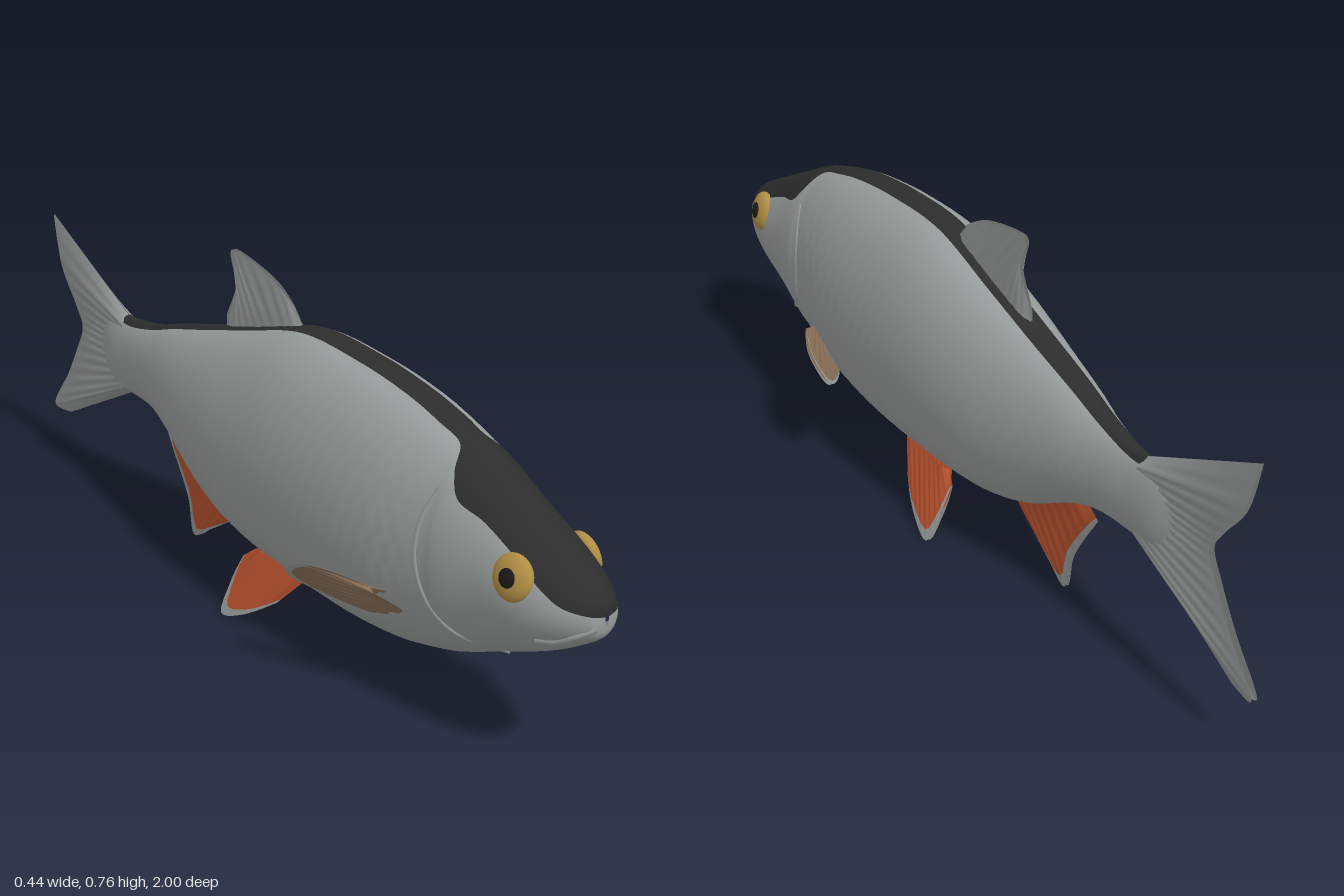
import * as THREE from 'three';

const mat = (name, color, side = THREE.FrontSide) => {
  const m = new THREE.MeshStandardMaterial({ color, side });
  m.name = name;
  return m;
};

// Body stations from snout to tail: z, top, bottom, half width, half angle of the dark back
const STATIONS = [
  [1.0, 0.40, 0.375, 0.004, 1.3], [0.99, 0.425, 0.345, 0.035, 1.3], [0.95, 0.45, 0.315, 0.066, 1.25],
  [0.9, 0.475, 0.285, 0.087, 1.05], [0.84, 0.505, 0.255, 0.1, 0.87], [0.75, 0.55, 0.215, 0.108, 0.8],
  [0.68, 0.585, 0.183, 0.118, 0.82], [0.645, 0.6, 0.168, 0.122, 0.6], [0.615, 0.61, 0.156, 0.122, 0.27],
  [0.55, 0.63, 0.137, 0.131, 0.24], [0.45, 0.652, 0.116, 0.144, 0.21], [0.3, 0.67, 0.105, 0.151, 0.2],
  [0.1, 0.672, 0.11, 0.148, 0.2], [-0.1, 0.618, 0.13, 0.132, 0.22], [-0.25, 0.575, 0.175, 0.107, 0.26],
  [-0.4, 0.533, 0.255, 0.075, 0.33], [-0.5, 0.502, 0.29, 0.052, 0.42], [-0.6, 0.486, 0.297, 0.037, 0.55],
  [-0.68, 0.485, 0.295, 0.029, 0.5], [-0.76, 0.47, 0.32, 0.008, 0.3],
];
const heights = new THREE.CatmullRomCurve3(
  STATIONS.map(([z, t, b]) => new THREE.Vector3(z, t, b)), false, 'catmullrom', 0.5);
const widths = new THREE.CatmullRomCurve3(
  STATIONS.map(([z, , , w, d]) => new THREE.Vector3(z, w, d)), false, 'catmullrom', 0.5);

function section(u) {
  const h = heights.getPoint(u), w = widths.getPoint(u);
  return { z: h.x, mid: (h.y + h.z) / 2, ry: (h.y - h.z) / 2, rx: w.y, dark: w.z };
}

// Point on the left flank at a given z and y
function skin(z, y, out = 0) {
  let lo = 0, hi = 1;
  for (let i = 0; i < 30; i++) {
    const m = (lo + hi) / 2;
    if (section(m).z > z) lo = m; else hi = m;
  }
  const s = section(lo);
  const c = THREE.MathUtils.clamp((y - s.mid) / s.ry, -1, 1);
  return new THREE.Vector3(s.rx * Math.sqrt(1 - c * c) + out, y, z);
}

function indexedGeometry(pos, first, second) {
  const g = new THREE.BufferGeometry();
  g.setAttribute('position', new THREE.Float32BufferAttribute(pos, 3));
  g.setIndex([...first, ...second]);
  g.addGroup(0, first.length, 0);
  if (second.length) g.addGroup(first.length, second.length, 1);
  g.computeVertexNormals();
  return g;
}

// Lofted body whose columns follow the edge of the dark back
function bodyGeometry() {
  const rows = 190, back = 12, flank = 56, cols = back + flank;
  const pos = [], darkFaces = [], paleFaces = [];
  for (let i = 0; i <= rows; i++) {
    const s = section(i / rows);
    const scaly = THREE.MathUtils.smoothstep(s.z, -0.6, -0.45) * (1 - THREE.MathUtils.smoothstep(s.z, 0.52, 0.6));
    for (let j = 0; j < cols; j++) {
      const a = j < back
        ? s.dark * (2 * j / back - 1)
        : s.dark + (2 * Math.PI - 2 * s.dark) * (j - back) / flank;
      // shallow overlapping scales
      const bump = 1 + 0.012 * scaly * Math.sin(s.z * 150 + (j % 4 < 2 ? 0 : Math.PI)) * Math.abs(Math.sin(a));
      pos.push(s.rx * Math.sin(a) * bump, s.mid + s.ry * Math.cos(a), s.z);
    }
  }
  for (let i = 0; i < rows; i++) {
    for (let j = 0; j < cols; j++) {
      const a = i * cols + j, b = i * cols + (j + 1) % cols;
      (j < back ? darkFaces : paleFaces).push(a, b, a + cols, b, b + cols, a + cols);
    }
  }
  return indexedGeometry(pos, darkFaces, paleFaces);
}

// Fin with rays running from a root curve to an edge curve, both given as [z, y]
function finGeometry({ root, edge, thick, rays = 10, rim = 1, plane = () => 0 }) {
  const spline = (pts) => new THREE.SplineCurve(pts.map(([z, y]) => new THREE.Vector2(z, y)));
  const r = spline(root), e = spline(edge);
  const nu = rays * 4, ns = 16, pos = [], main = [], border = [];
  for (const side of [1, -1]) {
    const base = pos.length / 3;
    for (let i = 0; i <= nu; i++) {
      const u = i / nu, p = r.getPoint(u), q = e.getPoint(u);
      const lens = Math.min(1, Math.sin(Math.PI * u) * 2.5);
      for (let k = 0; k <= ns; k++) {
        const s = k / ns, c = p.clone().lerp(q, s);
        const ridge = 0.0016 * Math.cos(2 * Math.PI * rays * u) * Math.sin(Math.PI * s);
        const half = lens * (thick * (1 - 0.75 * s) + ridge) + 0.001;
        pos.push(plane(c.x, c.y) + side * half, c.y, c.x);
      }
    }
    for (let i = 0; i < nu; i++) {
      for (let k = 0; k < ns; k++) {
        const a = base + i * (ns + 1) + k, b = a + ns + 1;
        const f = side > 0 ? [a, b, a + 1, b, b + 1, a + 1] : [a, a + 1, b, b, a + 1, b + 1];
        (k / ns < rim ? main : border).push(...f);
      }
    }
  }
  return indexedGeometry(pos, main, border);
}

export function createModel() {
  const silver = mat('silver', 0x9b9e9e);
  const dark = mat('dark back', 0x2d2d2d);
  const finGrey = mat('fin grey', 0x949797, THREE.DoubleSide);
  const orange = mat('fin orange', 0xb5502d, THREE.DoubleSide);
  const brown = mat('fin brown', 0x8a7058, THREE.DoubleSide);
  const gold = mat('eye gold', 0xb08f45);
  const black = mat('pupil black', 0x1c1a18);

  const model = new THREE.Group();
  model.name = 'fish';
  const add = (parent, name, geometry, material) => {
    const m = new THREE.Mesh(geometry, material);
    m.name = name;
    parent.add(m);
    return m;
  };

  add(model, 'body', bodyGeometry(), [dark, silver]);

  // Fins on the centre line
  add(model, 'dorsalFin', finGeometry({
    root: [[0.07, 0.655], [-0.08, 0.61], [-0.22, 0.57]],
    edge: [[0.03, 0.70], [-0.045, 0.738], [-0.17, 0.763], [-0.2, 0.75], [-0.18, 0.685], [-0.22, 0.61]],
    thick: 0.011,
  }), [finGrey]);
  add(model, 'tailFin', finGeometry({
    root: [[-0.635, 0.485], [-0.62, 0.39], [-0.63, 0.295]],
    edge: [[-0.975, 0.645], [-0.935, 0.525], [-0.87, 0.44], [-0.845, 0.395], [-0.87, 0.34],
      [-0.925, 0.25], [-0.998, 0.15], [-0.93, 0.145]],
    thick: 0.022, rays: 16,
  }), [finGrey]);
  add(model, 'analFin', finGeometry({
    root: [[-0.42, 0.285], [-0.28, 0.21], [-0.15, 0.16]],
    edge: [[-0.475, 0.25], [-0.425, 0.18], [-0.385, 0.11], [-0.365, 0.03], [-0.3, 0.065], [-0.215, 0.118]],
    thick: 0.013, rim: 0.85,
  }), [orange, finGrey]);

  // Paired parts, built on the left and mirrored
  const pelvic = finGeometry({
    root: [[-0.01, 0.15], [0.08, 0.16], [0.18, 0.155]],
    edge: [[-0.04, 0.125], [-0.045, 0.06], [-0.035, 0.006], [0.035, 0.028], [0.115, 0.08]],
    thick: 0.013, rim: 0.85, plane: (z, y) => 0.075 + 0.5 * (0.14 - y),
  });
  const pectoral = finGeometry({
    root: [[0.5, 0.285], [0.55, 0.25], [0.53, 0.215]],
    edge: [[0.46, 0.298], [0.36, 0.298], [0.3, 0.26], [0.33, 0.228], [0.42, 0.2], [0.5, 0.205]],
    thick: 0.011, rim: 0.92, plane: (z, y) => 0.115 + 0.75 * (y - 0.2) - 0.4 * (z - 0.42),
  });
  const ridge = (points, radius) => new THREE.TubeGeometry(
    new THREE.CatmullRomCurve3(points.map(([z, y]) => skin(z, y, -radius * 0.5))), 32, radius, 8);
  const gill = ridge([[0.63, 0.53], [0.605, 0.46], [0.6, 0.38], [0.625, 0.3], [0.68, 0.25], [0.77, 0.228]], 0.007);
  const lip = ridge([[0.995, 0.37], [0.97, 0.352], [0.93, 0.328], [0.89, 0.318]], 0.007);
  const ball = new THREE.SphereGeometry(1, 28, 20);

  for (const [side, sign] of [['left', 1], ['right', -1]]) {
    const half = new THREE.Group();
    half.name = side + 'Side';
    half.scale.x = sign;
    model.add(half);
    add(half, side + 'PelvicFin', pelvic, [orange, finGrey]);
    add(half, side + 'PectoralFin', pectoral, [brown, finGrey]);
    add(half, side + 'GillCoverEdge', gill, silver);
    add(half, side + 'Lip', lip, silver);

    const eye = new THREE.Group();
    eye.name = side + 'Eye';
    eye.position.set(0.087, 0.43, 0.842);
    eye.rotation.set(0, -0.15, 0.25);
    half.add(eye);
    add(eye, 'iris', ball, gold).scale.set(0.021, 0.046, 0.046);
    const pupil = add(eye, 'pupil', ball, black);
    pupil.scale.set(0.006, 0.019, 0.019);
    pupil.position.x = 0.0185;
  }
  return model;
}
